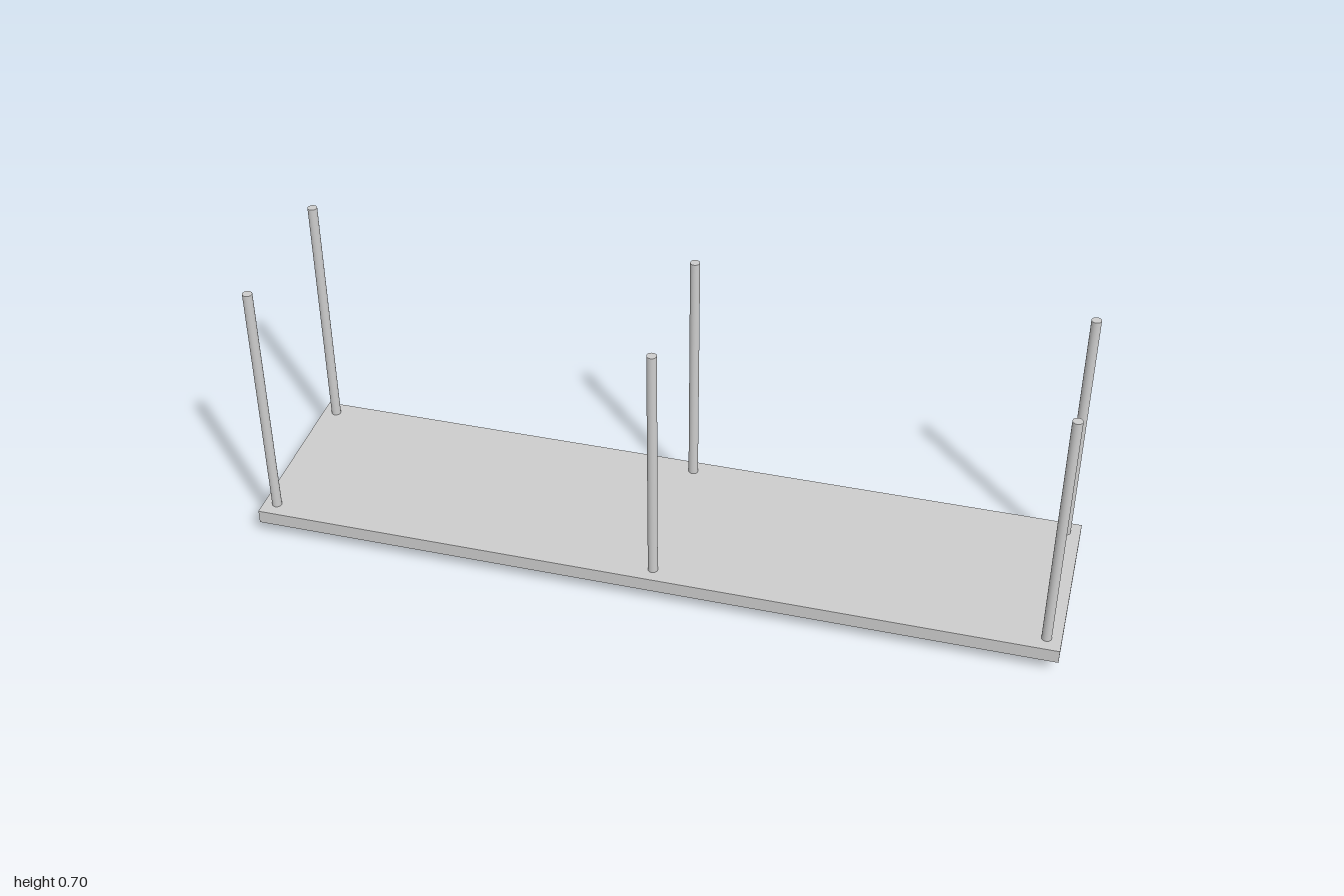
import * as THREE from 'three';

const TRAY_TOP = 0.034, SLAB_BOTTOM = 0.036, SLAB_TOP = 0.071, POST_TOP = 0.705;

export function createModel() {
  const model = new THREE.Group();
  model.name = 'hangingShelf';
  const material = new THREE.MeshStandardMaterial({ color: 0xcccccc });

  const add = (name, geometry, x, y, z) => {
    const mesh = new THREE.Mesh(geometry, material);
    mesh.name = name;
    mesh.position.set(x, y, z);
    model.add(mesh);
  };

  // Flat board
  const slabHeight = SLAB_TOP - SLAB_BOTTOM;
  add('board', new THREE.BoxGeometry(2, slabHeight, 0.472), 0, SLAB_BOTTOM + slabHeight / 2, 0);

  // Underside panel: a box whose lower corners are drawn in to bevel all four sides
  const inset = 0.032;
  const panel = new THREE.BoxGeometry(1.964, TRAY_TOP, 0.436);
  const p = panel.attributes.position;
  for (let i = 0; i < p.count; i++) {
    if (p.getY(i) > 0) continue;
    p.setX(i, p.getX(i) - Math.sign(p.getX(i)) * inset);
    p.setZ(i, p.getZ(i) - Math.sign(p.getZ(i)) * inset);
  }
  panel.computeVertexNormals();
  add('bevelledPanel', panel, 0, TRAY_TOP / 2, 0);

  // Six round rods, in a front and a back row
  const postHeight = POST_TOP - SLAB_TOP;
  const rod = new THREE.CylinderGeometry(0.012, 0.012, postHeight, 24);
  const columns = [['Right', -0.966], ['Middle', 0.013], ['Left', 0.964]];
  for (const [row, z] of [['front', 0.197], ['back', -0.2]]) {
    for (const [column, x] of columns) {
      add(`${row}${column}Rod`, rod, x, SLAB_TOP + postHeight / 2, z);
    }
  }

  return model;
}
